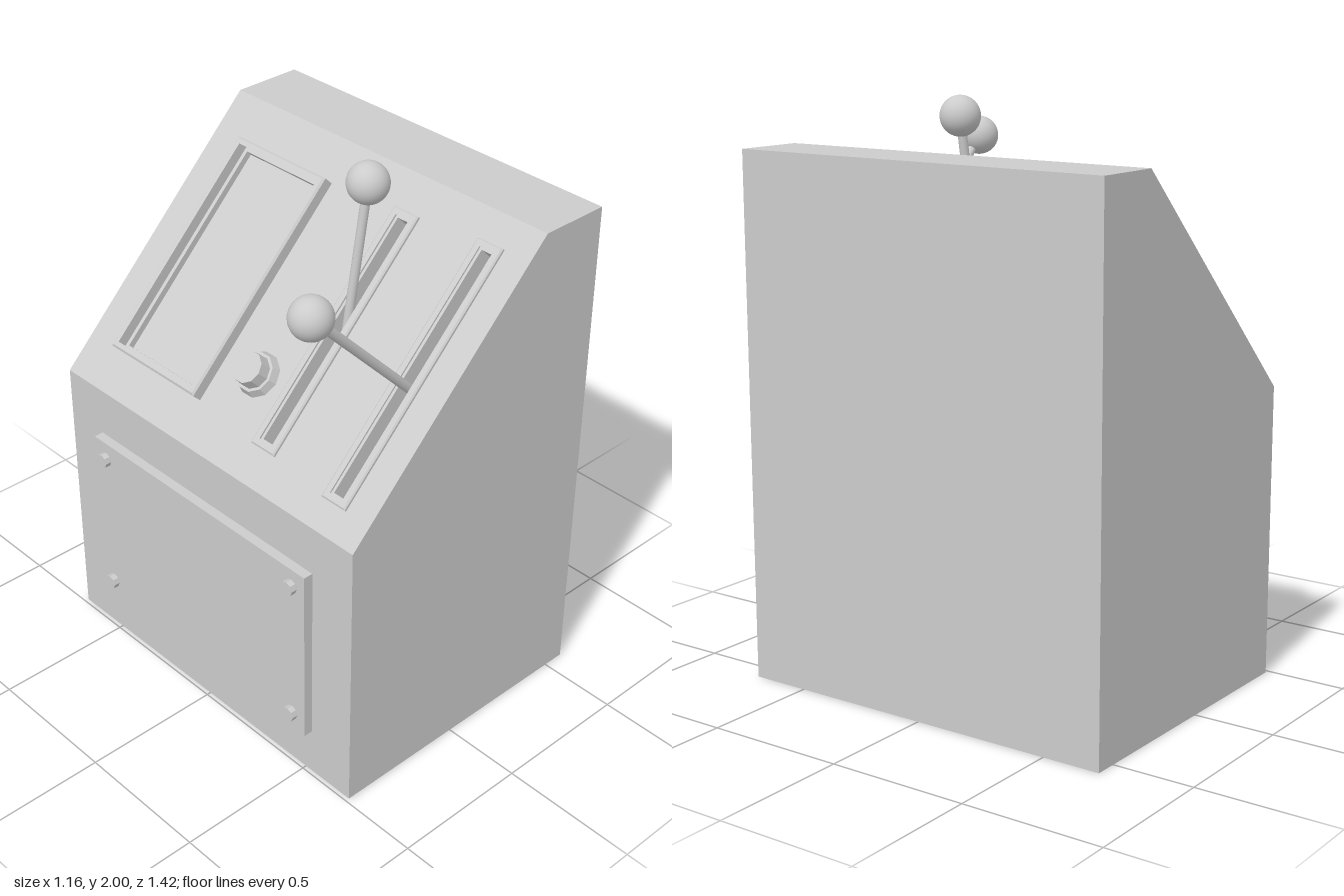
import * as THREE from 'three';

const material = new THREE.MeshStandardMaterial({ color: 0xcccccc, side: THREE.DoubleSide });
const flatMaterial = new THREE.MeshStandardMaterial({ color: 0xcccccc, flatShading: true });

function add(parent, name, geometry, mat = material) {
  const mesh = new THREE.Mesh(geometry, mat);
  mesh.name = name;
  parent.add(mesh);
  return mesh;
}

// Rectangle as a closed path: s runs up the slope, z runs across the console
function rect(Type, [s0, s1, z0, z1]) {
  const p = new Type();
  p.moveTo(s0, -z0).lineTo(s1, -z0).lineTo(s1, -z1).lineTo(s0, -z1).closePath();
  return p;
}

const inset = ([s0, s1, z0, z1], d) => [s0 + d, s1 - d, z0 + d, z1 - d];

// Plate with rectangular holes, lying in the slope plane from height y0 to y1
function plate(outer, holes, y0, y1, bevel = 0) {
  const shape = rect(THREE.Shape, bevel ? inset(outer, bevel) : outer);
  shape.holes = holes.map((h) => rect(THREE.Path, bevel ? inset(h, -bevel) : h));
  const g = new THREE.ExtrudeGeometry(shape, {
    depth: y1 - y0 - bevel, bevelEnabled: bevel > 0,
    bevelSize: bevel, bevelThickness: bevel, bevelSegments: 1,
  });
  return g.rotateX(-Math.PI / 2).translate(0, y0, 0);
}

// Lever: straight rod with a ball on top
function lever(parent, name, from, to) {
  const group = new THREE.Group();
  group.name = name;
  parent.add(group);
  const a = new THREE.Vector3(...from), b = new THREE.Vector3(...to);
  const dir = b.clone().sub(a);
  const rod = add(group, 'leverRod', new THREE.CylinderGeometry(0.016, 0.016, dir.length(), 12));
  rod.position.copy(a).lerp(b, 0.5);
  rod.quaternion.setFromUnitVectors(new THREE.Vector3(0, 1, 0), dir.normalize());
  add(group, 'leverBall', new THREE.SphereGeometry(0.07, 32, 20)).position.copy(b);
}

export function createModel() {
  const model = new THREE.Group();
  model.name = 'controlConsole';

  const low = new THREE.Vector2(-0.485, 1.028), high = new THREE.Vector2(0.325, 1.835);
  const along = high.clone().sub(low).normalize();
  const normal = new THREE.Vector2(-along.y, along.x);
  const onSlope = (s, h) => low.clone().addScaledVector(along, s).addScaledVector(normal, h);
  const depth = 0.3, s0 = 0.08, s1 = 1.08, halfWidth = 0.71;

  // Cabinet, with a channel under the sloping control plate
  const profile = new THREE.Shape([
    new THREE.Vector2(-0.485, 0), new THREE.Vector2(0.58, 0), new THREE.Vector2(0.58, 1.835), high,
    onSlope(s1, 0), onSlope(s1, -depth), onSlope(s0, -depth), onSlope(s0, 0), low,
  ]);
  add(model, 'cabinet', new THREE.ExtrudeGeometry(profile, { depth: 2 * halfWidth, bevelEnabled: false })
    .translate(0, 0, -halfWidth));

  // Controls are placed in the plane of the slope
  const slope = new THREE.Group();
  slope.name = 'slopingPanel';
  slope.position.set(low.x, low.y, 0);
  slope.rotation.z = Math.atan2(along.y, along.x);
  model.add(slope);

  const screen = [0.152, 0.99, -0.56, -0.13];
  const slots = [[0.125, 1.015, 0.152, 0.26], [0.1, 1.04, 0.5, 0.605]];
  const screenHole = inset(screen, 0.03);
  const slotHoles = slots.map((r) => inset(r, 0.03));
  add(slope, 'controlPlate', plate([s0, s1, -halfWidth, halfWidth], [screenHole, ...slotHoles], -depth, 0));

  // Recessed screen and its raised frame
  add(slope, 'screenFrame', plate(screen, [screenHole], 0, 0.047, 0.007));
  add(slope, 'screen', plate(screenHole, [], -0.05, -0.024));

  // Low frames around the lever slots
  slots.forEach((r, i) => add(slope, 'slotFrame', plate(r, [slotHoles[i]], 0, 0.013, 0.005)));

  // Knob: faceted collar and cap
  const knob = new THREE.Group();
  knob.name = 'knob';
  knob.position.set(0.325, 0, 0.03);
  slope.add(knob);
  add(knob, 'knobCollar', new THREE.CylinderGeometry(0.07, 0.08, 0.03, 10), flatMaterial).position.y = 0.015;
  add(knob, 'knobCap', new THREE.CylinderGeometry(0.056, 0.06, 0.05, 10), flatMaterial).position.y = 0.05;

  lever(model, 'uprightLever', [-0.075, 1.13, 0.2], [0.03, 1.93, 0.228]);
  lever(model, 'leaningLever', [0.05, 1.235, 0.542], [-0.515, 1.812, 0.556]);

  // Service cover with four bolts
  const cover = add(model, 'serviceCover', new THREE.BoxGeometry(0.035, 0.67, 1.07));
  cover.position.set(-0.5025, 0.515, -0.005);
  for (const y of [0.25, 0.785]) {
    for (const z of [-0.48, 0.47]) {
      const bolt = add(model, 'coverBolt', new THREE.CylinderGeometry(0.026, 0.026, 0.024, 8), flatMaterial);
      bolt.rotation.z = Math.PI / 2;
      bolt.position.set(-0.53, y, z);
    }
  }
  return model;
}
